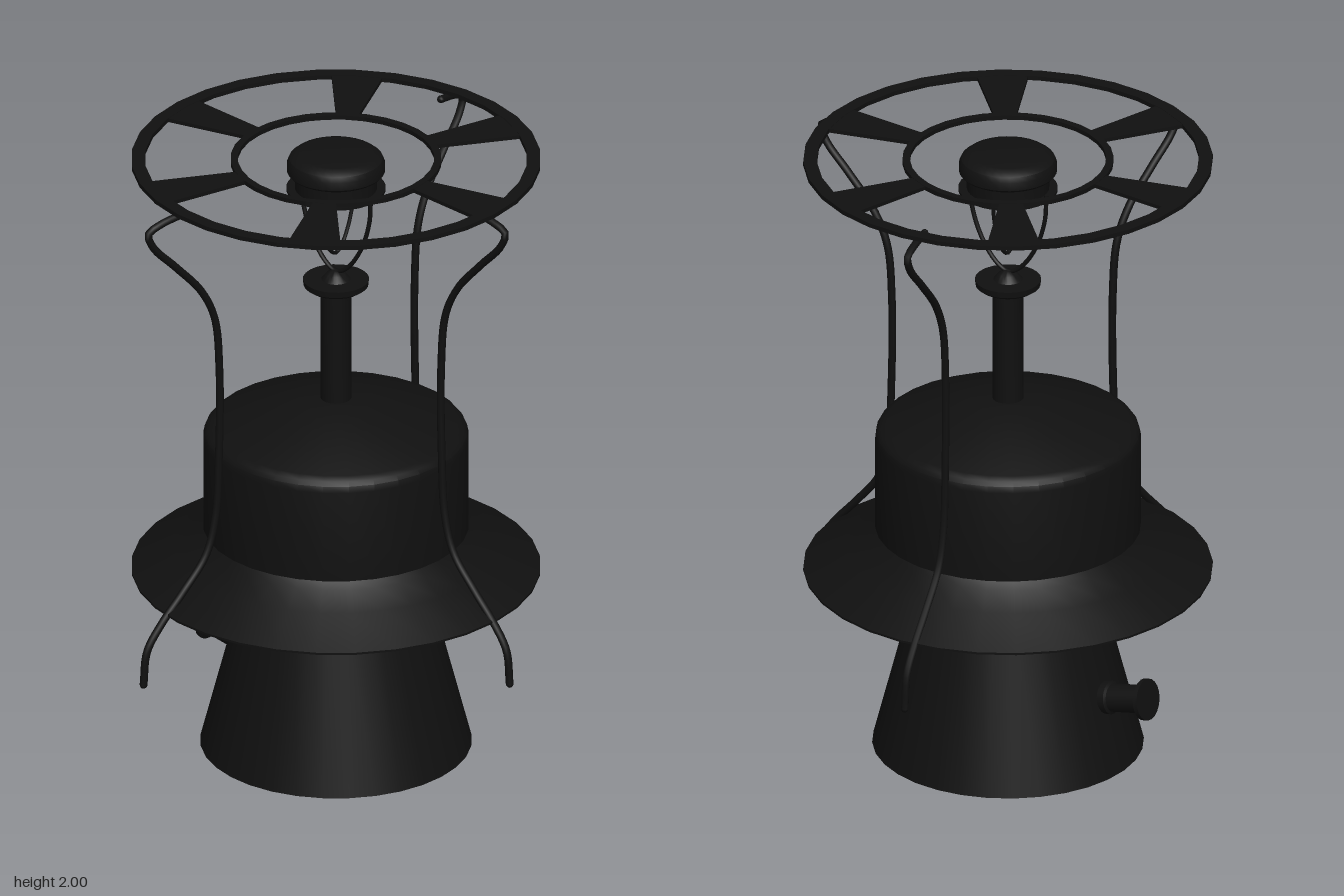
import * as THREE from 'three';
import { toCreasedNormals } from 'three/addons/utils/BufferGeometryUtils.js';

const SIDES = 32;
const rad = THREE.MathUtils.degToRad;

export function createModel() {
  const model = new THREE.Group();
  model.name = 'lantern';
  const dark = new THREE.MeshStandardMaterial({ color: 0x101010 });

  const add = (name, geometry, parent = model) => {
    const mesh = new THREE.Mesh(geometry, dark);
    mesh.name = name;
    parent.add(mesh);
    return mesh;
  };
  // Closed turned part from [radius, height] pairs, bottom to top
  const turned = (profile, sides = SIDES) =>
    toCreasedNormals(new THREE.LatheGeometry(profile.map(([r, y]) => new THREE.Vector2(r, y)), sides), rad(28));
  // Round wire through [x, y, z] points
  const wire = (points, radius, steps) =>
    new THREE.TubeGeometry(new THREE.CatmullRomCurve3(points.map(p => new THREE.Vector3(...p))), steps, radius, 8);
  // Flat horizontal plate from a shape
  const plate = (shape, thickness) =>
    new THREE.ExtrudeGeometry(shape, { depth: thickness, bevelEnabled: false, curveSegments: SIDES })
      .rotateX(-Math.PI / 2).translate(0, -thickness / 2, 0);

  // Tapered foot, brim and housing
  add('base', turned([[0, 0], [0.418, 0], [0.265, 0.595], [0, 0.595]]));
  add('brim', turned([[0, 0.59], [0.63, 0.59], [0.63, 0.597], [0.5, 0.67], [0.43, 0.715], [0.409, 0.735], [0, 0.735]]));
  add('housing', turned([
    [0, 0.73], [0.409, 0.73], [0.409, 1.035], [0.405, 1.055], [0.395, 1.068], [0.375, 1.078],
    [0.115, 1.168], [0, 1.168],
  ]));

  // Central tube with its dish and tip
  add('centreTube', turned([[0, 1.15], [0.048, 1.15], [0.048, 1.56], [0, 1.56]], 20));
  add('dish', turned([
    [0, 1.542], [0.085, 1.542], [0.1, 1.553], [0.102, 1.572], [0.045, 1.572], [0.03, 1.59], [0.012, 1.602], [0, 1.604],
  ], 24));

  // Two crossed wire loops hanging under the cap
  const loop = (half, bottom) => {
    const top = 1.89, h = top - bottom;
    const side = [[1, top], [0.96, top - 0.3 * h], [0.72, top - 0.65 * h], [0.32, top - 0.92 * h]];
    return [
      ...side.map(([s, y]) => [-s * half, y, 0]),
      [0, bottom, 0],
      ...side.reverse().map(([s, y]) => [s * half, y, 0]),
    ];
  };
  add('narrowLoop', wire(loop(0.088, 1.66), 0.006, 40));
  add('wideLoop', wire(loop(0.138, 1.598), 0.007, 40)).rotation.y = Math.PI / 2;

  // Cap with a thin lower flange
  add('capFlange', turned([[0, 1.876], [0.153, 1.876], [0.153, 1.884], [0, 1.884]]));
  add('capNeck', turned([[0, 1.88], [0.127, 1.88], [0.127, 1.945], [0, 1.945]]));
  add('cap', turned([
    [0, 1.935], [0.145, 1.935], [0.151, 1.942], [0.151, 1.968], [0.144, 1.984], [0.13, 1.995], [0.112, 2], [0, 2],
  ]));

  // Flat top wheel: two rings joined by six flared spokes
  const wheel = new THREE.Group();
  wheel.name = 'topWheel';
  wheel.position.y = 1.976;
  model.add(wheel);
  const circle = (r, Type) => new Type(Array.from({ length: SIDES }, (_, i) => {
    const a = (i / SIDES) * Math.PI * 2;
    return new THREE.Vector2(r * Math.cos(a), r * Math.sin(a));
  }));
  const ring = (outer, inner) => {
    const shape = circle(outer, THREE.Shape);
    shape.holes.push(circle(inner, THREE.Path));
    return plate(shape, 0.014);
  };
  add('outerRing', ring(0.63, 0.588), wheel);
  add('innerRing', ring(0.325, 0.302), wheel);
  const spokeShape = new THREE.Shape([[0.315, -0.035], [0.595, -0.08], [0.595, 0.08], [0.315, 0.035]]
    .map(p => new THREE.Vector2(...p)));
  const spoke = plate(spokeShape, 0.012);
  for (let i = 0; i < 6; i++) add('spoke', spoke, wheel).rotation.y = rad(33 + 60 * i);

  // Three bent wire supports
  const supportPath = [
    [0.69, 0.4], [0.677, 0.51], [0.625, 0.59], [0.55, 0.675], [0.467, 0.78], [0.432, 0.9], [0.42, 1.1], [0.418, 1.4],
    [0.435, 1.58], [0.483, 1.685], [0.573, 1.79], [0.655, 1.88], [0.672, 1.93], [0.626, 1.952], [0.557, 1.965],
  ];
  const supportGeometry = wire(supportPath.map(([r, y]) => [r, y, 0]), 0.012, 90);
  // Discs closing the cut ends
  const endCap = new THREE.SphereGeometry(0.012, 8, 6);
  const support = (name, degrees, scale, drop) => {
    const group = new THREE.Group();
    group.name = name;
    group.rotation.y = rad(degrees);
    group.scale.set(scale, 1, 1);
    group.position.y = -drop;
    add('supportWire', supportGeometry, group);
    for (const [r, y] of [supportPath[0], supportPath.at(-1)]) add('supportEnd', endCap, group).position.set(r, y, 0);
    model.add(group);
  };
  support('leftSupport', 4, 1, 0);
  support('frontSupport', -90, 1, 0);
  support('rightSupport', 163, 1.03, 0.024);

  // Filler spout on the back, tilted slightly upward
  const spout = add('fillerSpout', turned([
    [0, -0.05], [0.052, -0.05], [0.052, 0.03], [0.044, 0.035], [0.044, 0.145],
    [0.065, 0.148], [0.065, 0.162], [0, 0.162],
  ], 20));
  spout.position.set(0, 0.232, -0.345);
  spout.rotation.x = -Math.PI / 2 + rad(11);

  // The turned axis sits slightly off the centre of the bounds
  for (const part of model.children) part.position.add(new THREE.Vector3(-0.008, 0, -0.035));
  return model;
}
